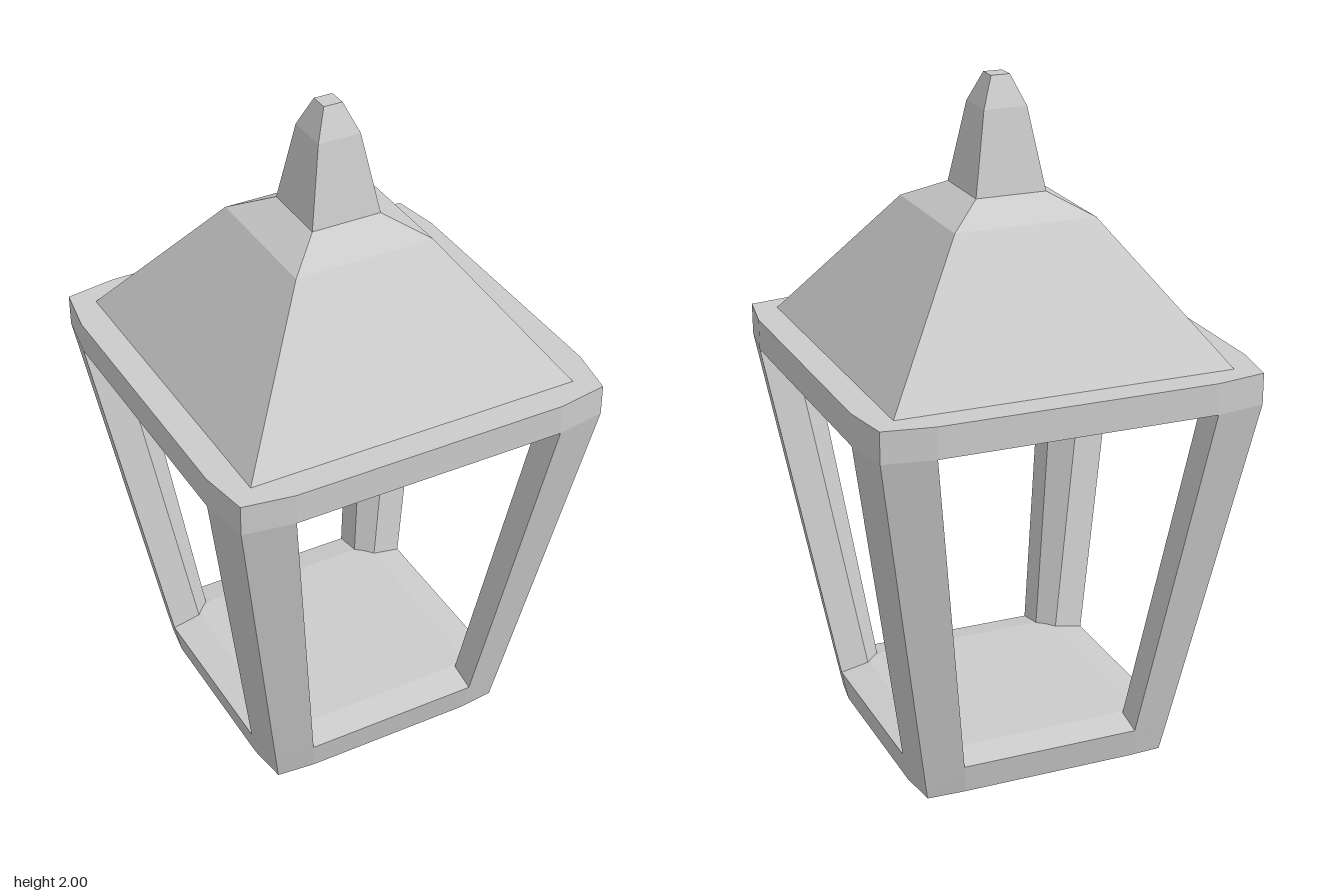
import * as THREE from 'three';

const material = new THREE.MeshStandardMaterial({ color: 0xcccccc, flatShading: true });

// Skin a stack of rings (points [x, y, z], counter-clockwise from above) and cap both ends.
function loft(name, rings) {
  const pos = [];
  const tri = (a, b, c) => pos.push(...a, ...b, ...c);
  const n = rings[0].length;
  const centre = (ring) => [0, 1, 2].map((k) => ring.reduce((s, p) => s + p[k], 0) / n);
  const first = rings[0], last = rings[rings.length - 1];
  const low = centre(first), high = centre(last);
  for (let i = 0; i < n; i++) {
    const j = (i + 1) % n;
    for (let r = 0; r < rings.length - 1; r++) {
      const a = rings[r], b = rings[r + 1];
      tri(a[i], a[j], b[j]);
      tri(a[i], b[j], b[i]);
    }
    tri(low, first[j], first[i]);
    tri(high, last[i], last[j]);
  }
  const geometry = new THREE.BufferGeometry();
  geometry.setAttribute('position', new THREE.Float32BufferAttribute(pos, 3));
  geometry.computeVertexNormals();
  const mesh = new THREE.Mesh(geometry, material);
  mesh.name = name;
  return mesh;
}

// Repeat the points of one corner around all four corners.
function fourCorners(points) {
  const ring = [];
  let pts = points;
  for (let q = 0; q < 4; q++) {
    ring.push(...pts);
    pts = pts.map(([x, y, z]) => [z, y, -x]);
  }
  return ring;
}

// Square outline with bevelled corners: k = flat half length, m = half width, c = corner.
const frameRing = (y, k, m, c, cornerY = y) =>
  fourCorners([[k, y, m], [c, cornerY, c], [m, y, k]]);
const squareRing = ([h, y]) => fourCorners([[h, y, h]]);

// Post section: bevelled outside corner, straight jambs, chamfered inside.
const postRing = (y, k, m, c, d) =>
  [[k, y, m], [c, y, c], [m, y, k], [m - d, y, k], [k, y, m - d]];

export function createModel() {
  const group = new THREE.Group();
  group.name = 'lantern';

  // Base slab with a sill that rises towards the floor
  group.add(loft('base', [
    frameRing(0.01, 0.26, 0.39, 0.37, 0),
    frameRing(0.1, 0.27, 0.407, 0.387),
    frameRing(0.117, 0.25, 0.317, 0.3),
  ]));

  // Four corner posts leaning outwards
  for (let i = 0; i < 4; i++) {
    const post = loft('cornerPost', [
      postRing(0.1, 0.27, 0.407, 0.387, 0.09),
      postRing(1.14, 0.41, 0.585, 0.56, 0.1),
    ]);
    post.rotation.y = i * Math.PI / 2;
    group.add(post);
  }

  // Top rim and ceiling
  group.add(loft('rim', [
    frameRing(1.14, 0.41, 0.585, 0.56),
    frameRing(1.232, 0.41, 0.585, 0.56),
  ]));

  // Pyramid roof with a flatter crown
  group.add(loft('roof', [[0.5, 1.232], [0.21, 1.622], [0.105, 1.68]].map(squareRing)));

  // Tapered finial
  group.add(loft('finial',
    [[0.105, 1.68], [0.084, 1.8], [0.064, 1.915], [0.028, 2]].map(squareRing)));

  return group;
}
